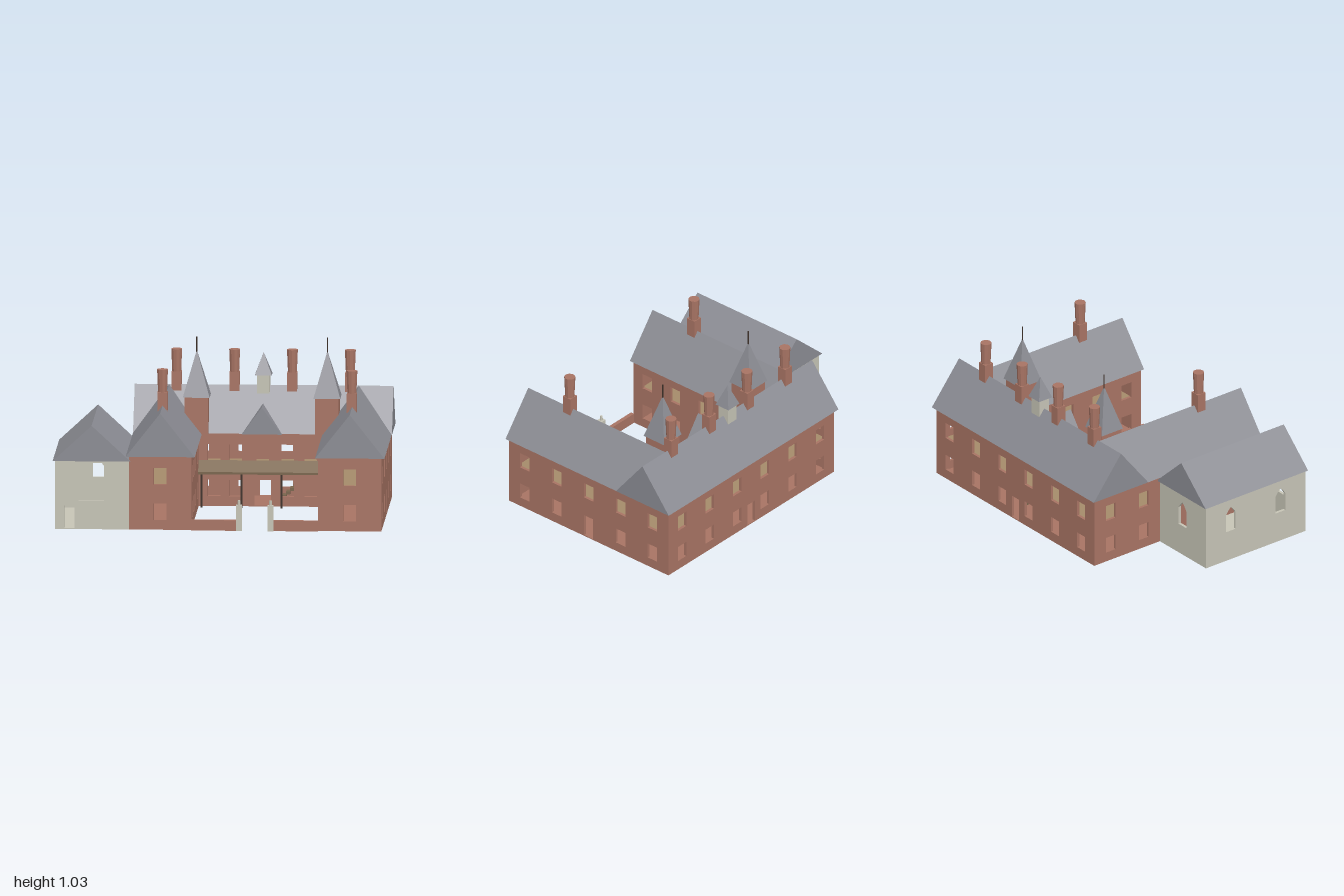
import * as THREE from 'three';

const mat = (name, color) => {
  const m = new THREE.MeshStandardMaterial({ color, flatShading: true });
  m.name = name;
  return m;
};

export function createModel() {
  const root = new THREE.Group();
  root.name = 'courtyardHouse';
  const brick = mat('brick', 0xa87464);
  const slate = mat('slate', 0x8b8c93);
  const stone = mat('stone', 0xc6c4b6);
  const wood = mat('wood', 0x7a664d);
  const floorboard = mat('floorboard', 0xa58b6a);
  const dark = mat('darkTimber', 0x3c2f28);

  const add = (name, geo, material, x = 0, y = 0, z = 0, ry = 0) => {
    const m = new THREE.Mesh(geo, material);
    m.name = name;
    m.position.set(x, y, z);
    m.rotation.y = ry;
    root.add(m);
    return m;
  };
  // Box given by its two extreme corners
  const box = (name, material, x0, x1, y0, y1, z0, z1) =>
    add(name, new THREE.BoxGeometry(x1 - x0, y1 - y0, z1 - z0), material,
      (x0 + x1) / 2, (y0 + y1) / 2, (z0 + z1) / 2);
  const polygon = (pts) => new THREE.Shape(pts.map(([x, y]) => new THREE.Vector2(x, y)));

  // Openings, as outlines along a wall
  const rect = (c, w, y0, y1) => [[c - w / 2, y0], [c - w / 2, y1], [c + w / 2, y1], [c + w / 2, y0]];
  const lancet = (c) => [[c - 0.037, 0.195], [c - 0.037, 0.31], [c - 0.02, 0.335], [c, 0.355],
    [c + 0.02, 0.335], [c + 0.037, 0.31], [c + 0.037, 0.195]];
  const lower = (c) => rect(c, 0.076, 0.06, 0.16);
  const upper = (c) => rect(c, 0.076, 0.275, 0.377);
  const door = (c, w = 0.07, h = 0.148) => rect(c, w, 0.006, h);
  const columns = (centres, doorIndex = -1) => centres.flatMap((c, i) =>
    [upper(c), i === doorIndex ? door(c) : lower(c)]);
  const spaced = (length, n) => Array.from({ length: n }, (_, i) => (i + 0.5) * length / n);

  // Wall with openings, running left to right as seen from outside
  const T = 0.018;
  const wall = (name, material, [x0, z0], [x1, z1], h, holes) => {
    const s = polygon([[0, 0], [Math.hypot(x1 - x0, z1 - z0), 0], [Math.hypot(x1 - x0, z1 - z0), h], [0, h]]);
    s.holes = holes.map(polygon);
    const g = new THREE.ExtrudeGeometry(s, { depth: T, bevelEnabled: false });
    g.translate(0, 0, -T);
    add(name, g, material, x0, 0, z0, Math.atan2(z0 - z1, x1 - x0));
  };

  // Brick walls around the U-shaped house
  const W = -0.54, E = 0.98, N = -0.64, S = 0.63, L = -0.165, R = 0.6, C = -0.26, H = 0.445;
  wall('eastWall', brick, [E, S], [E, N], H, columns(spaced(S - N, 5), 2));
  wall('westWall', brick, [W, N], [W, S], H, columns(spaced(S - N, 5).slice(0, 2)));
  wall('backWall', brick, [E, N], [W, N], H, [...columns(spaced(E - W, 6)), door(0.76)]);
  wall('leftWingFront', brick, [W, S], [L, S], H, columns([0.187]));
  wall('rightWingFront', brick, [R, S], [E, S], H, columns([0.188]));
  wall('leftWingCourtWall', brick, [L, S], [L, C], H, columns(spaced(S - C, 4)));
  wall('rightWingCourtWall', brick, [R, C], [R, S], H, columns(spaced(S - C, 4)));
  const court = [0.092, 0.222, 0.385, 0.537, 0.675];
  wall('courtyardWall', brick, [L, C], [R, C], H,
    court.flatMap((c, i) => [upper(c), i === 2 ? door(c, 0.1, 0.16) : lower(c)]));

  // Ground and upper floors
  [['groundFloor', brick, 0, 0.006], ['upperFloor', floorboard, 0.215, 0.23]].forEach(([n, m, y0, y1]) => {
    box(n, m, W + 0.005, E - 0.005, y0, y1, N + 0.005, C - 0.005);
    box(n, m, W + 0.005, L - 0.005, y0, y1, C - 0.005, S - 0.005);
    box(n, m, R + 0.005, E - 0.005, y0, y1, C - 0.005, S - 0.005);
  });
  // Indoor stair
  for (let i = 0; i < 10; i++) {
    const x = 0.31 + i * 0.022, y = 0.022 * (i + 1);
    box('stairStep', wood, x, x + 0.024, y - 0.018, y, -0.484, -0.42);
  }

  // Gabled roof prism; its section lies across x, its ridge along z
  const gable = (name, half, y0, y1, length) => {
    const g = new THREE.ExtrudeGeometry(polygon([[-half, y0], [half, y0], [0, y1]]),
      { depth: length, bevelEnabled: false });
    return add(name, g, slate);
  };
  const main = gable('mainRoof', 0.21, H, 0.71, 1.56);
  main.rotation.y = Math.PI / 2;
  main.position.set(-0.56, 0, -0.45);
  gable('leftWingRoof', 0.208, H, 0.71, 1.09).position.set(-0.352, 0, -0.45);
  gable('rightWingRoof', 0.209, H, 0.71, 1.09).position.set(0.79, 0, -0.45);
  gable('dormerRoof', 0.12, H, 0.61, 0.16).position.set(0.217, 0, -0.375);
  gable('chapelRoof', 0.235, 0.415, 0.632, 0.79).position.set(-0.765, 0, -0.15);

  // Stone chapel
  const cw = -0.985, cn = -0.135, ch = 0.415;
  const bigWindow = [[0.14, 0.175], [0.14, 0.385], [0.155, 0.405], [0.28, 0.405], [0.295, 0.385], [0.295, 0.175]];
  wall('chapelFront', stone, [cw, S], [W, S], ch, [bigWindow, door(0.086, 0.064, 0.142)]);
  wall('chapelBack', stone, [W, cn], [cw, cn], ch, [lancet(0.218)]);
  wall('chapelSide', stone, [cw, cn], [cw, S], ch, spaced(S - cn, 2).map(lancet));
  box('chapelFloor', stone, cw + 0.005, W, 0, 0.006, cn + 0.005, S - 0.005);

  // Square pyramid roofs
  const pyramid = (name, w, y0, y1, x, z) =>
    add(name, new THREE.ConeGeometry(w / Math.SQRT2, y1 - y0, 4), slate, x, (y0 + y1) / 2, z, Math.PI / 4);

  // Corner towers with spires and finials
  for (const x of [-0.177, 0.61]) {
    box('tower', brick, x - 0.071, x + 0.071, H, 0.672, -0.345, -0.203);
    pyramid('spire', 0.162, 0.67, 0.95, x, -0.274);
    add('finial', new THREE.CylinderGeometry(0.004, 0.004, 0.1, 6), dark, x, 0.98, -0.274);
  }

  // Ridge cupola
  box('cupola', stone, 0.18, 0.255, 0.66, 0.777, -0.4875, -0.4125);
  pyramid('cupolaRoof', 0.102, 0.775, 0.91, 0.217, -0.45);

  // Chimneys
  const chimneys = [[-0.307, -0.452], [0.042, -0.452], [0.39, -0.452], [0.739, -0.452], [-0.354, 0.312], [0.787, 0.312]];
  for (const [x, z] of chimneys) {
    box('chimneyBase', brick, x - 0.03, x + 0.03, 0.672, 0.79, z - 0.03, z + 0.03);
    add('chimneyStack', new THREE.CylinderGeometry(0.034, 0.028, 0.138, 10), brick, x, 0.858, z);
  }

  // Veranda: sloping roof on posts
  const lean = new THREE.ExtrudeGeometry(
    polygon([[0, 0.28], [0, 0.266], [0.075, 0.205], [0.075, 0.219]]), { depth: R - L, bevelEnabled: false });
  add('verandaRoof', lean, wood, R, 0, C, -Math.PI / 2);
  for (const x of [-0.146, 0.096, 0.338, 0.582]) {
    box('verandaPost', dark, x - 0.006, x + 0.006, 0, 0.215, -0.206, -0.194);
  }

  // Forecourt walls and gate piers
  for (const [x0, x1, px] of [[L, 0.12, 0.123], [0.315, R, 0.313]]) {
    box('forecourtWall', brick, x0, x1, 0, 0.064, 0.624, 0.648);
    box('gatePier', stone, px - 0.018, px + 0.018, 0, 0.155, 0.618, 0.654);
    add('pierFinial', new THREE.CylinderGeometry(0.008, 0.009, 0.03, 8), stone, px, 0.169, 0.636);
  }
  return root;
}
